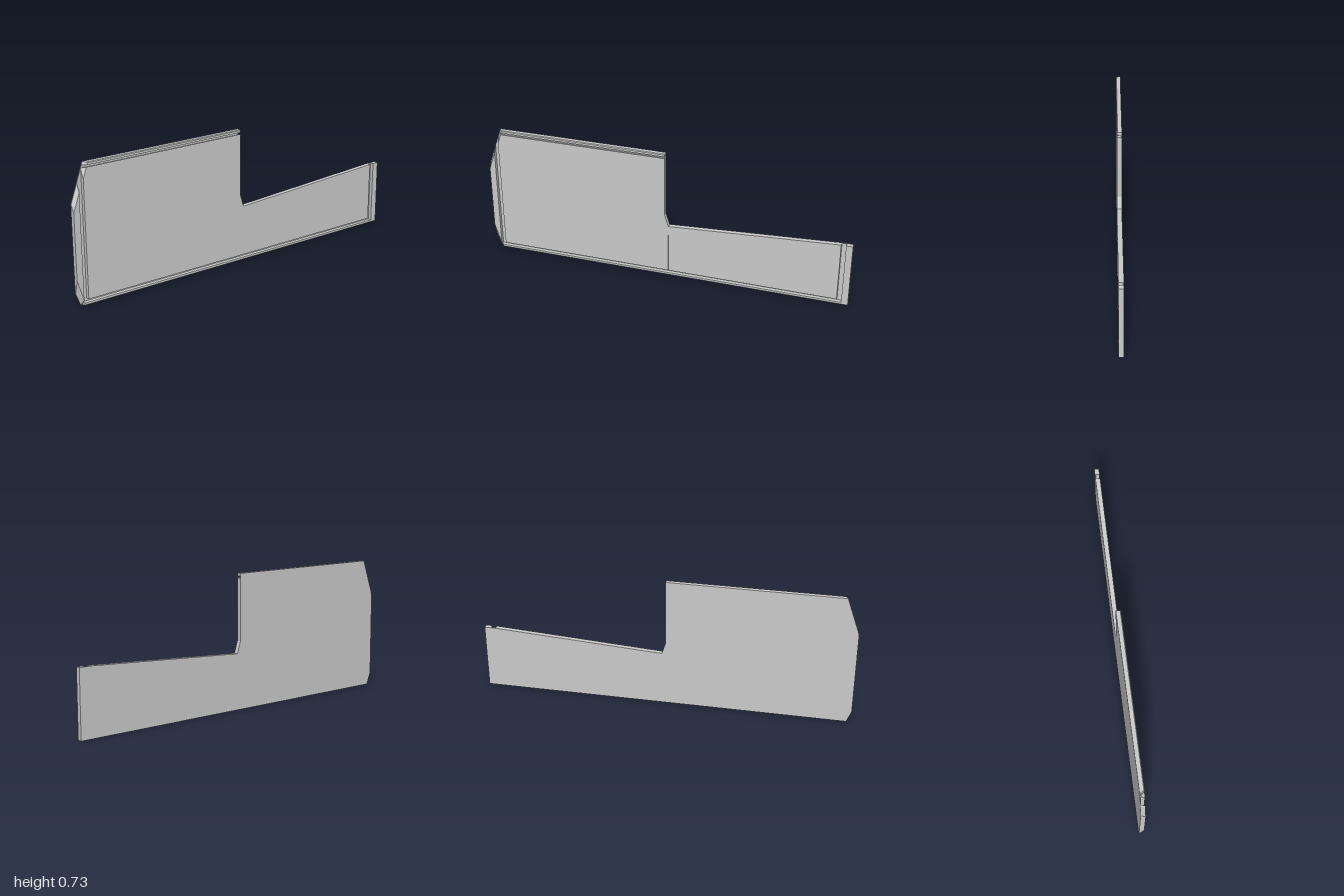
import * as THREE from 'three';

const BACK = -0.013, FLOOR = -0.008, SOFT = 0.009, FACE = 0.013;

// Solid lofted along x through layers [x, outline]; outlines are [z, y] points
// running along the bottom from front to back, then over the top to the front.
function loft(name, layers, material) {
  const pos = [];
  const push = (x, p) => pos.push(x, p[1], p[0]);
  const cap = ([x, pts], flip) => {
    const flat = pts.map(([z, y]) => new THREE.Vector2(-z, y));
    for (const [a, b, c] of THREE.ShapeUtils.triangulateShape(flat, [])) {
      for (const i of flip ? [a, c, b] : [a, b, c]) push(x, pts[i]);
    }
  };
  cap(layers[0], true);
  cap(layers[layers.length - 1], false);
  for (let k = 0; k < layers.length - 1; k++) {
    const [x0, p] = layers[k], [x1, q] = layers[k + 1];
    for (let i = 0; i < p.length; i++) {
      const j = (i + 1) % p.length;
      push(x0, p[i]); push(x0, p[j]); push(x1, q[j]);
      push(x0, p[i]); push(x1, q[j]); push(x1, q[i]);
    }
  }
  const geometry = new THREE.BufferGeometry();
  geometry.setAttribute('position', new THREE.Float32BufferAttribute(pos, 3));
  geometry.computeVertexNormals();
  const mesh = new THREE.Mesh(geometry, material);
  mesh.name = name;
  return mesh;
}

// Four-sided outline
const box = (zf0, zf1, zb, y0, y1) => [[zf0, y0], [zb, y0], [zb, y1], [zf1, y1]];

export function createModel() {
  const group = new THREE.Group();
  group.name = 'steppedPanel';
  const grey = new THREE.MeshStandardMaterial({ color: 0xcccccc, flatShading: true });
  const add = (name, layers) => group.add(loft(name, layers, grey));

  // Thin backing sheet carrying the full silhouette
  const sheet = [[0.975, 0], [-1, 0], [-1, 0.36], [-0.94, 0.36], [-0.02, 0.305],
    [0, 0.37], [0, 0.73], [0.93, 0.73], [1, 0.53], [1, 0.065]];
  add('backingSheet', [[BACK, sheet], [FLOOR, sheet]]);

  // Raised panel with a thin seam under the step and a sloped front top corner
  const panel = (top, corner, z) => [[0.94, 0.03], [-0.0185, 0.03], [-0.02, 0.27],
    [-0.0215, 0.03], [-0.94, 0.03], [-0.94, 0.36], [-0.02, 0.305], [0, 0.37],
    [0, top], [z, top], [0.94, corner]];
  add('raisedPanel', [[FLOOR, panel(0.7, 0.695, 0.937)], [FACE, panel(0.706, 0.65, 0.92)]]);

  // Rims separated from the panel by a groove, outer edges softened
  add('bottomRim', [
    [FLOOR, box(0.97, 0.97, -0.966, 0, 0.015)],
    [SOFT, box(0.957, 0.962, -0.966, 0, 0.015)],
    [FACE, box(0.955, 0.96, -0.966, 0.004, 0.015)],
  ]);
  add('topRim', [
    [FLOOR, box(0.935, 0.93, 0, 0.715, 0.73)],
    [SOFT, box(0.922, 0.917, 0, 0.715, 0.73)],
    [FACE, box(0.918, 0.914, 0, 0.715, 0.726)],
  ]);
  add('backRim', [
    [FLOOR, box(-0.965, -0.965, -1, 0, 0.36)],
    [SOFT, box(-0.965, -0.965, -1, 0, 0.36)],
    [FACE, box(-0.965, -0.965, -1, 0.004, 0.36)],
  ]);
  add('frontRim', [
    [FLOOR, [[0.975, 0], [0.965, 0], [0.965, 0.63], [1, 0.53], [1, 0.065]]],
    [FACE, [[0.967, 0.036], [0.965, 0.03], [0.965, 0.59], [1, 0.49], [1, 0.14]]],
  ]);

  return group;
}
